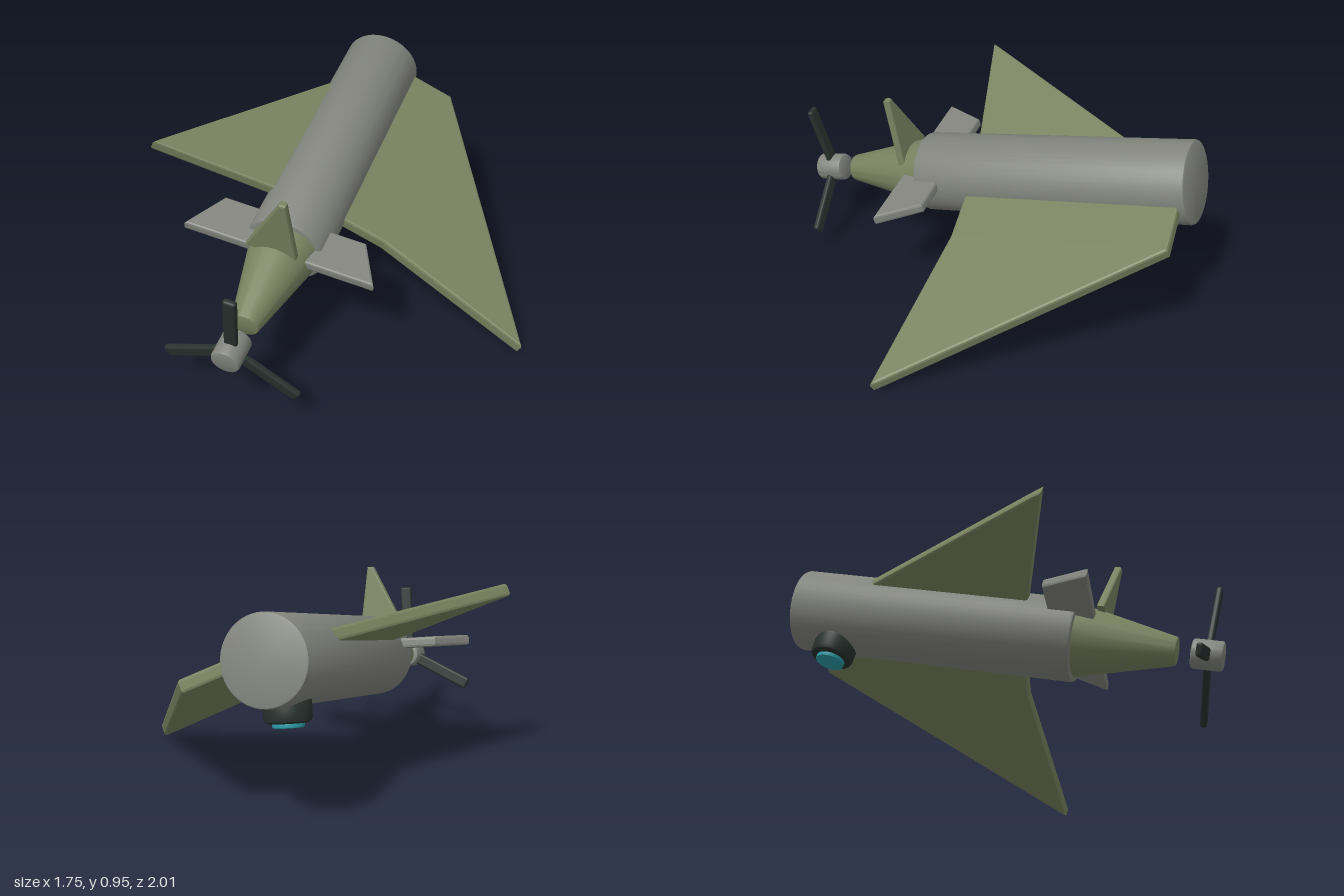
import * as THREE from 'three';
import { toCreasedNormals } from 'three/addons/utils/BufferGeometryUtils.js';
import { RoundedBoxGeometry } from 'three/addons/geometries/RoundedBoxGeometry.js';

const ROLL = THREE.MathUtils.degToRad(-8.5);
const WING_ROLL = THREE.MathUtils.degToRad(-26.5);

function paint(name, color) {
  const m = new THREE.MeshStandardMaterial({ color });
  m.name = name;
  return m;
}

// Solid of revolution along y with softened rims
function barrel(rBottom, rTop, y0, y1, bevel) {
  const b = bevel;
  const profile = [
    [0, y0], [rBottom - b, y0], [rBottom - b * 0.3, y0 + b * 0.3], [rBottom, y0 + b],
    [rTop, y1 - b], [rTop - b * 0.3, y1 - b * 0.3], [rTop - b, y1], [0, y1],
  ].map(([r, y]) => new THREE.Vector2(r, y));
  return toCreasedNormals(new THREE.LatheGeometry(profile, 48), 0.6);
}

// Flat plate with softened edges, centred on its thickness (along z)
function plate(points, thickness, bevel) {
  const shape = new THREE.Shape(points.map(([x, y]) => new THREE.Vector2(x, y)));
  const g = new THREE.ExtrudeGeometry(shape, {
    depth: thickness - 2 * bevel, bevelEnabled: true, bevelThickness: bevel,
    bevelSize: bevel, bevelOffset: -bevel, bevelSegments: 2,
  });
  return g.translate(0, 0, -(thickness - 2 * bevel) / 2);
}

// Adds the mirrored half (-x) to a half outline
function mirrored(half) {
  return [...half, ...half.map(([x, y]) => [-x, y]).reverse()];
}

export function createModel() {
  const gray = paint('hull gray', 0x82847d);
  const olive = paint('olive drab', 0x78825f);
  const dark = paint('dark slate', 0x28322f);
  const teal = paint('lens teal', 0x2a9aa5);

  const model = new THREE.Group();
  model.name = 'aircraft';

  // Aircraft frame: +z runs along the fuselage to the nose
  const craft = new THREE.Group();
  craft.name = 'airframe';
  craft.position.set(-0.213, 0.485, 0.35);
  craft.rotation.set(
    THREE.MathUtils.degToRad(12.5), THREE.MathUtils.degToRad(-1.92), 0, 'YXZ');
  model.add(craft);

  function add(parent, name, geometry, material) {
    const mesh = new THREE.Mesh(geometry, material);
    mesh.name = name;
    parent.add(mesh);
    return mesh;
  }

  // Fuselage and nose
  add(craft, 'fuselage', barrel(0.19, 0.19, -1.342, 0, 0.012).rotateX(Math.PI / 2), gray);
  add(craft, 'noseCone', barrel(0.168, 0.066, -0.02, 0.447, 0.01).rotateX(Math.PI / 2), olive);

  // Main wing: one plate set off to the side and banked
  const wingOutline = mirrored([
    [0.18, -1.185], [0.945, -0.035], [0.965, 0], [0.185, -0.14],
  ]);
  const wing = add(craft, 'wing', plate(wingOutline, 0.06, 0.012).rotateX(Math.PI / 2), olive);
  wing.position.set(0.206, -0.062, -0.127);
  wing.rotation.z = WING_ROLL;

  // Parts that share the slight roll
  const rolled = new THREE.Group();
  rolled.name = 'fittings';
  rolled.rotation.z = ROLL;
  craft.add(rolled);

  // Canard
  const canardOutline = mirrored([[0.345, -0.129], [0.455, 0.081]]);
  const canard = add(rolled, 'canard',
    plate(canardOutline, 0.048, 0.012).rotateX(Math.PI / 2), gray);
  canard.position.y = 0.049;

  // Fin standing across the nose
  const fin = add(rolled, 'fin',
    plate([[-0.145, 0.1], [0.1, 0.1], [0.042, 0.44], [0.012, 0.44]], 0.036, 0.009), olive);
  fin.position.z = 0.094;

  // Propeller
  const propeller = new THREE.Group();
  propeller.name = 'propeller';
  propeller.position.z = 0.581;
  rolled.add(propeller);
  add(propeller, 'hub', barrel(0.067, 0.067, -0.071, 0.071, 0.012).rotateX(Math.PI / 2), gray);
  for (let i = 0; i < 3; i++) {
    const blade = add(propeller, 'blade',
      new RoundedBoxGeometry(0.06, 0.335, 0.03, 3, 0.012).translate(0, 0.188, 0), dark);
    blade.rotation.z = (i * Math.PI * 2) / 3;
  }

  // Camera turret under the tail
  const turret = new THREE.Group();
  turret.name = 'turret';
  turret.position.z = -1.13;
  rolled.add(turret);
  add(turret, 'turretHousing', barrel(0.1, 0.1, -0.255, -0.13, 0.022), dark);
  add(turret, 'lens', barrel(0.066, 0.066, -0.274, -0.24, 0.006), teal);

  return model;
}
